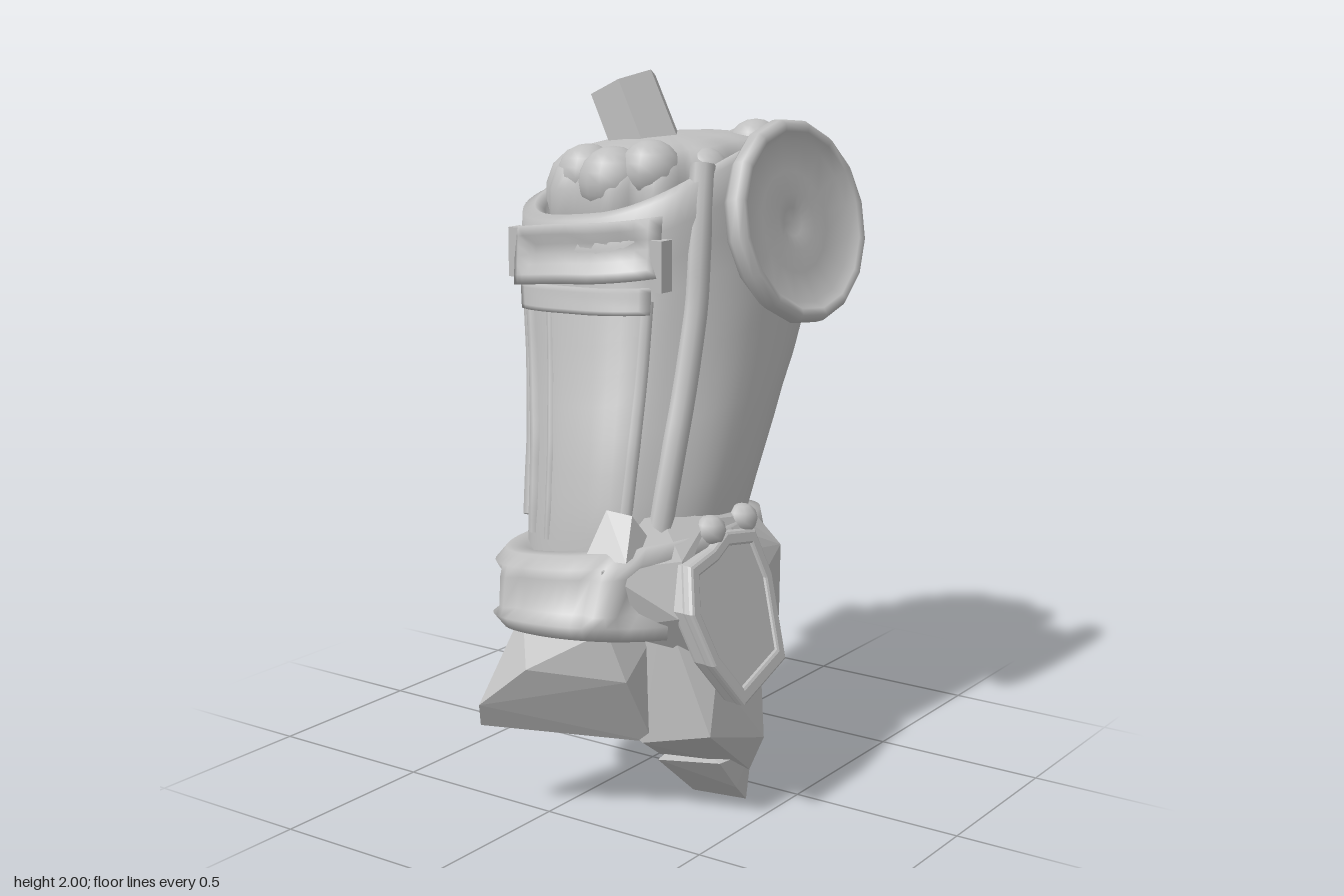
import * as THREE from 'three';
import { ConvexGeometry } from 'three/addons/geometries/ConvexGeometry.js';

const grey = new THREE.MeshStandardMaterial({ color: 0xbfbfbf, side: THREE.DoubleSide });
grey.name = 'plain grey';
const V = (x, y, z) => new THREE.Vector3(x, y, z);
const { degToRad: rad, lerp, smoothstep } = THREE.MathUtils;

// Bounds by height: y, xMin, xMax, zMin, zMax
const shellKeys = [
  [0.45, -0.22, 0.26, -0.17, 0.45], [0.8, -0.25, 0.31, -0.27, 0.42],
  [1.0, -0.29, 0.31, -0.42, 0.375], [1.2, -0.36, 0.3, -0.57, 0.31],
  [1.4, -0.42, 0.29, -0.65, 0.26], [1.6, -0.44, 0.27, -0.65, 0.22],
  [1.85, -0.42, 0.23, -0.58, 0.13],
];
const cuffKeys = [
  [0.4, -0.21, 0.31, -0.19, 0.5], [0.55, -0.25, 0.36, -0.22, 0.61],
  [0.65, -0.27, 0.36, -0.24, 0.62], [0.85, -0.24, 0.33, -0.27, 0.44],
];

// Point on a rounded section at angle a (0 = +x, 90 = +z); the back is boxy only near the top
function section(keys, a, y, off = 0) {
  let i = 0;
  while (i < keys.length - 2 && y > keys[i + 1][0]) i++;
  const p = keys[i], q = keys[i + 1], t = (y - p[0]) / (q[0] - p[0]);
  const [x0, x1, z0, z1] = [1, 2, 3, 4].map((k) => lerp(p[k], q[k], t));
  const back = Math.max(0, -Math.sin(a)) ** 0.5 * (1 - smoothstep(y, 1.05, 1.5));
  const power = keys === cuffKeys ? 0.88 : lerp(0.78, 1.08, back);
  const bend = (v) => Math.sign(v) * Math.abs(v) ** power;
  return V((x0 + x1) / 2 + ((x1 - x0) / 2 + off) * bend(Math.cos(a)), y,
    (z0 + z1) / 2 + ((z1 - z0) / 2 + off) * bend(Math.sin(a)));
}

// Surface from a rule f(i, j); rows run upward, columns from +x to +z
function grid(nu, nv, f, closed) {
  const pos = [], idx = [], w = closed ? nu : nu + 1;
  for (let j = 0; j <= nv; j++) for (let i = 0; i < w; i++) pos.push(...f(i, j).toArray());
  for (let j = 0; j < nv; j++) for (let i = 0; i < nu; i++) {
    const a = j * w + i, b = j * w + (i + 1) % w;
    idx.push(a, a + w, b, b, a + w, b + w);
  }
  const g = new THREE.BufferGeometry();
  g.setAttribute('position', new THREE.Float32BufferAttribute(pos, 3));
  g.setIndex(idx);
  g.computeVertexNormals();
  return g;
}

// Raised plate following the shell, with a sunken middle
function skin(a0, a1, y0, y1, off, sink, slope) {
  const nu = 14, nv = 8, c = (k, n) => Math.min(Math.max((k - 1) / (n - 2), 0), 1);
  return grid(nu, nv, (i, j) => {
    const edge = Math.min(i, nu - i, j, nv - j), u = c(i, nu);
    const h = edge === 0 ? -0.02 : edge > 2 ? off - sink : off;
    return section(shellKeys, rad(a0 + (a1 - a0) * u), y0 + (y1 - y0) * c(j, nv) - slope * u, h);
  });
}

// Rim dips low at the back and peaks on the +x side
const rimHeight = (a) => 1.7 + 0.065 * Math.cos(a) - 0.06 * Math.sin(a) + 0.03 * Math.cos(2 * a)
  - 0.38 * Math.max(0, -Math.sin(a)) ** 1.3;

export function createModel() {
  const model = new THREE.Group();
  const add = (name, geo) => {
    const m = new THREE.Mesh(geo, grey);
    m.name = name;
    model.add(m);
    return m;
  };
  const hull = (name, pts) => add(name, new ConvexGeometry(pts.map((p) => V(...p))));

  // Tapered forearm shell: closed underside, outer wall, rolled rim, inner bowl
  const n = 64;
  add('shell', grid(n, 19, (i, j) => {
    const a = (i / n) * Math.PI * 2, h = rimHeight(a);
    if (j === 0) return section(shellKeys, a, 0.56, -0.22);
    if (j <= 15) {
      const v = (j - 1) / 14, dent = 0.01 * Math.sin(5 * a + 1) * Math.sin(v * Math.PI);
      return section(shellKeys, a, lerp(0.45, h, v), dent + (j > 13 ? 0.014 : 0));
    }
    return section(shellKeys, a, h - [-0.015, 0, 0.08, 0.17][j - 16], [-0.015, -0.045, -0.07, -0.22][j - 16]);
  }, true));

  // Long ribs down the shell: angle at top, angle at bottom, top, bottom, radius
  [[150, 143, 1.62, 0.78, 0.034], [36, 42, 1.76, 0.78, 0.036], [122, 125, 1.4, 0.75, 0.022],
    [62, 64, 1.4, 0.78, 0.022], [104, 106, 1.38, 0.75, 0.014], [178, 172, 1.3, 0.78, 0.02],
  ].forEach(([at, ab, yt, yb, r]) => {
    const pts = [];
    for (let k = 0; k <= 8; k++) pts.push(section(shellKeys, rad(lerp(at, ab, k / 8)), lerp(yt, yb, k / 8), -0.012));
    add('shellRib', new THREE.TubeGeometry(new THREE.CatmullRomCurve3(pts), 20, r, 8));
  });

  // Front collar
  add('frontCollar', skin(128, 56, 1.41, 1.57, 0.035, 0.02, -0.06));
  add('collarLip', skin(124, 60, 1.35, 1.42, 0.02, 0, -0.02));
  for (const a of [56, 130]) {
    const tab = add('collarTab', new THREE.BoxGeometry(0.04, 0.14, 0.05));
    tab.position.copy(section(shellKeys, rad(a), 1.5, 0.02));
  }

  // Wrist cuff with sunken panels, open below
  add('cuff', grid(n, 8, (i, j) => {
    const a = (i / n) * Math.PI * 2, s = Math.sin(a), c = Math.cos(a);
    const low = 0.48 + 0.07 * s + 0.02 * c, high = 0.75 + 0.04 * c;
    const t = [0, 0, 0.18, 0.3, 0.7, 0.85, 1, 1, 0.8][j];
    const panel = Math.abs(Math.sin(3 * a + 0.2)) > 0.35 && (j === 3 || j === 4) ? -0.025 : 0;
    const off = [-0.06, 0, 0.012, 0, 0, 0.012, 0, -0.05, -0.12][j];
    return section(cuffKeys, a, low + (high - low) * t, off + panel);
  }, true));
  hull('cuffSpur', [[0.13, 0.75, 0.5], [0.25, 0.75, 0.48], [0.15, 0.87, 0.43], [0.22, 0.86, 0.41], [0.15, 0.78, 0.36], [0.25, 0.78, 0.36]]);

  // Side shield on the cuff, leaning outward toward the bottom
  const outline = [[0.36, 0.73], [0.24, 0.75], [0.16, 0.78], [0.03, 0.76], [0.01, 0.64], [0.06, 0.42], [0.3, 0.36], [0.38, 0.48], [0.41, 0.62]];
  const path = (k) => outline.map(([z, y]) => new THREE.Vector2(-(0.21 + (z - 0.21) * k), 0.59 + (y - 0.59) * k));
  const lean = (shape, depth, out) => {
    const g = new THREE.ExtrudeGeometry(shape, { depth, bevelSize: 0.008, bevelThickness: 0.012, bevelSegments: 2 });
    g.rotateY(Math.PI / 2);
    const p = g.attributes.position;
    for (let i = 0; i < p.count; i++) p.setX(i, p.getX(i) + out + (0.85 - p.getY(i)) * 0.36);
    g.computeVertexNormals();
    return g;
  };
  add('shieldPlate', lean(new THREE.Shape(path(0.97)), 0.04, 0.275));
  const frame = new THREE.Shape(path(0.98));
  frame.holes.push(new THREE.Path(path(0.86).reverse()));
  add('shieldFrame', lean(frame, 0.015, 0.31));
  hull('shieldMount', [[0.22, 0.87, 0.3], [0.24, 0.85, -0.05], [0.39, 0.7, -0.07], [0.4, 0.5, -0.05], [0.2, 0.48, -0.15],
    [0.18, 0.56, 0.5], [0.42, 0.47, 0.3], [0.34, 0.74, 0.35], [0.37, 0.6, 0.41], [0.33, 0.8, 0.05], [0.32, 0.82, 0.2], [0.2, 0.73, 0.52]]);
  for (const z of [0.04, 0.2]) {
    add('shieldKnob', new THREE.SphereGeometry(0.045, 8, 6)).position.set(0.33, 0.79, z);
  }

  // Dished shoulder discs
  const disc = (name, r, pos, normal, zScale) => {
    const prof = [[0.0001, -0.04], [0.7, -0.045], [0.93, -0.04], [1, -0.01], [0.99, 0.018], [0.94, 0.035], [0.87, 0.03],
      [0.8, 0.005], [0.5, -0.008], [0.28, 0], [0.14, -0.015], [0.0001, -0.015]];
    const g = new THREE.LatheGeometry(prof.map(([u, v]) => new THREE.Vector2(u * r, v)), 16);
    g.scale(1, 1, zScale);
    const m = add(name, g);
    m.quaternion.setFromUnitVectors(V(0, 1, 0), normal.normalize());
    m.position.copy(pos);
  };
  disc('largeDisc', 0.29, V(0.325, 1.59, -0.24), V(0.96, 0.2, 0.1), 1);
  disc('smallDisc', 0.195, V(-0.46, 1.475, -0.235), V(-0.97, -0.2, 0.03), 0.72);
  const hub = add('discHub', new THREE.CylinderGeometry(0.15, 0.22, 0.1, 14));
  hub.position.set(0.245, 1.57, -0.24);
  hub.rotation.z = -Math.PI / 2 + 0.2;

  // Lumpy mound filling the opening, scalloped round its edge and undercut below
  const profile = [[1.15, 0.5], [1.35, 0.68], [1.48, 0.84], [1.56, 0.95], [1.63, 1], [1.7, 1], [1.755, 0.94], [1.79, 0.82], [1.805, 0.6], [1.815, 0.3], [1.815, 0]];
  add('mound', grid(72, profile.length - 1, (i, j) => {
    const a = (i / 72) * Math.PI * 2, [y, r] = profile[j];
    const k = r * (0.93 + 0.09 * Math.abs(Math.sin(5.5 * a + (a > Math.PI ? 0.3 : 0))) * (j > 1 && j < 8 ? 1 : 0.4));
    const x = 0.285 * k * Math.sign(Math.cos(a)) * Math.abs(Math.cos(a)) ** 0.8;
    const z = 0.37 * k * Math.sign(Math.sin(a)) * Math.abs(Math.sin(a)) ** 0.8;
    return V(-0.125 + x, y + 0.04 * x - 0.05 * z, -0.235 + z);
  }, true));
  [[-0.21, 1.71, 0.02, 0.09], [-0.1, 1.7, 0.05, 0.1], [0.0, 1.73, 0.01, 0.09], [0.09, 1.72, -0.12, 0.075],
    [0.06, 1.77, -0.44, 0.085], [-0.04, 1.73, -0.52, 0.09], [-0.18, 1.72, -0.52, 0.09], [-0.32, 1.68, -0.4, 0.08],
  ].forEach(([x, y, z, r]) => add('lump', new THREE.SphereGeometry(r, 14, 10)).position.set(x, y, z));

  // Hollow peg standing out of the top
  const pegShape = new THREE.LatheGeometry(
    [[0.11, -0.14], [0.108, 0.12], [0.085, 0.12], [0.07, 0.09], [0.0001, 0.09]].map(([x, y]) => new THREE.Vector2(x, y)), 6, Math.PI / 6);
  const peg = add('peg', pegShape.toNonIndexed());
  peg.geometry.computeVertexNormals();
  peg.quaternion.setFromUnitVectors(V(0, 1, 0), V(-0.42, 0.9, 0.02).normalize());
  peg.position.set(-0.2, 1.845, -0.21);

  // Broken wrist stump under the cuff
  hull('wristBlock', [[0, 0.62, 0.4], [0.3, 0.62, 0.38], [0.3, 0.62, 0], [0, 0.62, 0], [0.05, 0.32, 0.41], [0.24, 0.22, 0.39],
    [0.44, 0.27, 0.36], [0.46, 0.2, 0.12], [0.42, 0.1, 0.13], [0.22, 0.08, 0.13], [0.18, 0.12, 0.22], [0.4, 0.44, 0.05],
    [0.42, 0.42, 0.3], [0.06, 0.38, 0.06]]);
  hull('wristTip', [[0.2, 0.15, 0.12], [0.42, 0.15, 0.12], [0.2, 0.12, 0.26], [0.4, 0.15, 0.25], [0.41, 0.01, 0.13], [0.24, 0, 0.14],
    [0.41, 0.06, 0.18], [0.22, 0.06, 0.19]]);
  hull('wristFlap', [[-0.1, 0.56, 0.48], [0.2, 0.56, 0.5], [-0.14, 0.26, 0.62], [-0.12, 0.33, 0.65], [-0.06, 0.3, 0.4],
    [0.1, 0.23, 0.4], [0.25, 0.42, 0.48], [0.02, 0.45, 0.62], [-0.05, 0.58, 0.28], [0.25, 0.58, 0.28], [-0.1, 0.4, 0.42], [0.26, 0.22, 0.37]]);

  return model;
}
